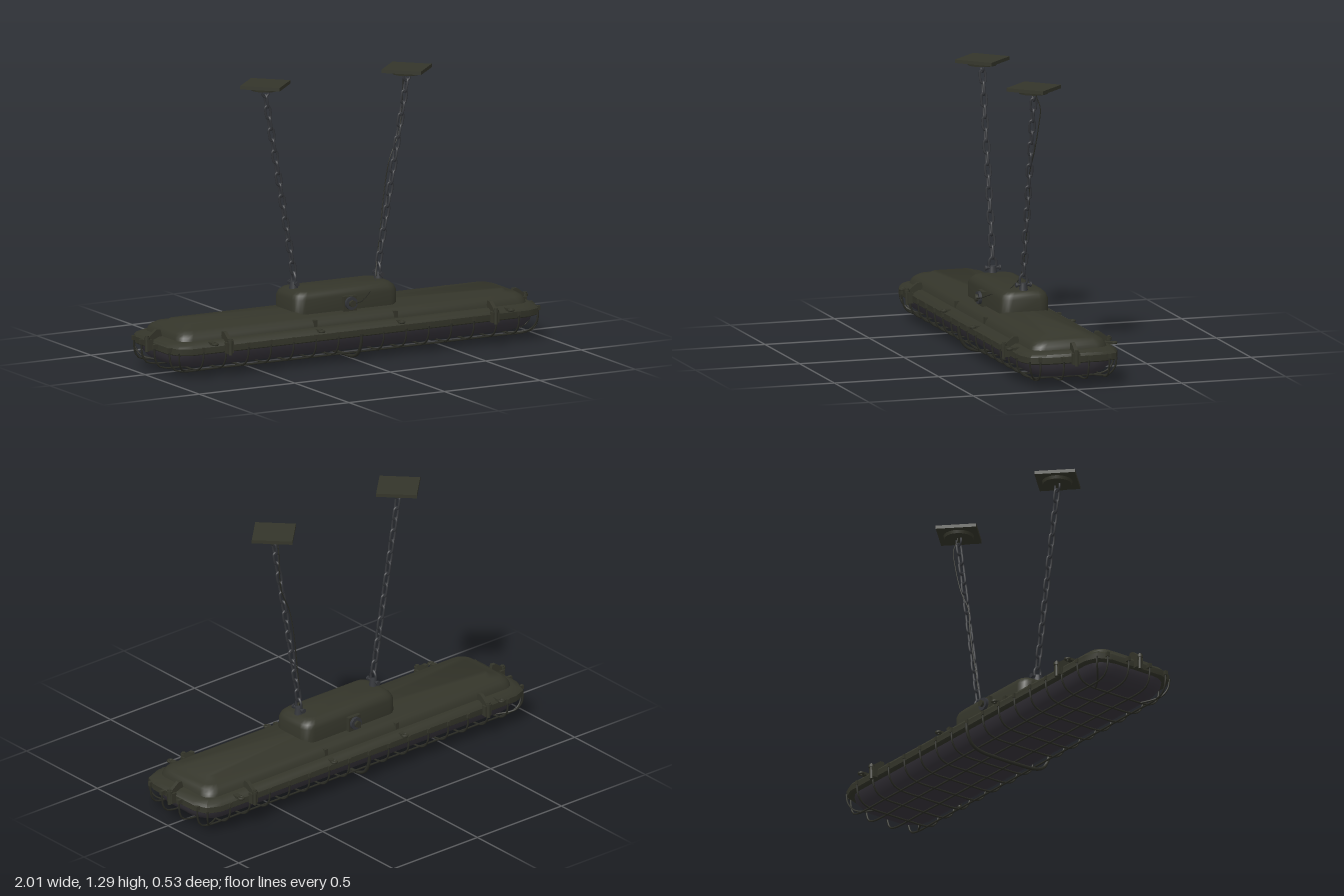
import * as THREE from 'three';
import { toCreasedNormals } from 'three/addons/utils/BufferGeometryUtils.js';

const material = (name, color) => {
  const m = new THREE.MeshStandardMaterial({ color });
  m.name = name;
  return m;
};
const V = (x, y, z) => new THREE.Vector3(x, y, z);

// Closed body lofted through rounded rectangles [halfX, halfZ, cornerRadius, y], bottom to top
function loft(rings, crease = 0.6, steps = 4) {
  const pos = [], idx = [], n = 4 * (steps + 1);
  for (const [hx, hz, r, y] of rings) {
    for (let q = 0; q < 4; q++) {
      const sx = q === 0 || q === 3 ? 1 : -1, sz = q < 2 ? 1 : -1;
      for (let s = 0; s <= steps; s++) {
        const a = (q + s / steps) * Math.PI / 2;
        pos.push(sx * (hx - r) + r * Math.cos(a), y, sz * (hz - r) + r * Math.sin(a));
      }
    }
  }
  const last = rings.length - 1;
  for (let k = 0; k < last; k++) {
    for (let i = 0; i < n; i++) {
      const a = k * n + i, b = k * n + (i + 1) % n;
      idx.push(a, a + n, b, b, a + n, b + n);
    }
  }
  const c = pos.length / 3;
  pos.push(0, rings[0][3], 0, 0, rings[last][3], 0);
  for (let i = 0; i < n; i++) {
    const j = (i + 1) % n;
    idx.push(c, i, j, c + 1, last * n + j, last * n + i);
  }
  const g = new THREE.BufferGeometry();
  g.setAttribute('position', new THREE.Float32BufferAttribute(pos, 3));
  g.setIndex(idx);
  return toCreasedNormals(g, crease);
}

const wire = (points, radius, segs = 32, sides = 6, closed = false) =>
  new THREE.TubeGeometry(new THREE.CatmullRomCurve3(points, closed, 'centripetal'), segs, radius, sides, closed);

export function createModel() {
  const root = new THREE.Group();
  const paint = material('olive paint', 0x34352a);
  const glass = material('smoked glass', 0x37343b);
  const steel = material('chain steel', 0x34363a);
  const cageMat = material('cage wire', 0x2a2b24);

  const add = (name, geo, mat, x = 0, y = 0, z = 0, parent = root) => {
    const m = new THREE.Mesh(geo, mat);
    m.name = name;
    m.position.set(x, y, z);
    parent.add(m);
    return m;
  };

  // Lamp body
  add('diffuser', loft([
    [0.85, 0.11, 0.08, 0.040], [0.89, 0.145, 0.09, 0.045], [0.925, 0.18, 0.1, 0.062],
    [0.945, 0.2, 0.1, 0.09], [0.95, 0.208, 0.1, 0.122]], 1), glass);
  add('rim', loft([
    [0.962, 0.225, 0.09, 0.115], [0.968, 0.232, 0.09, 0.12], [0.968, 0.232, 0.09, 0.148],
    [0.96, 0.222, 0.09, 0.16], [0.93, 0.2, 0.08, 0.172]], 0.5, 2), paint);
  add('housing', loft([
    [0.915, 0.187, 0.06, 0.165], [0.91, 0.18, 0.06, 0.187], [0.9, 0.168, 0.06, 0.203],
    [0.88, 0.145, 0.05, 0.215], [0.84, 0.115, 0.04, 0.221], [0.83, 0.095, 0.03, 0.231]], 0.8), paint);
  add('controlBox', loft([
    [0.27, 0.117, 0.05, 0.21], [0.27, 0.115, 0.05, 0.285], [0.262, 0.108, 0.05, 0.305],
    [0.245, 0.092, 0.045, 0.32], [0.225, 0.075, 0.04, 0.325]], 0.7), paint);

  // Cable glands on both long sides of the control box
  for (const s of [1, -1]) {
    add('glandBlock', new THREE.BoxGeometry(0.07, 0.07, 0.025), paint, 0, 0.252, s * 0.121);
    add('gland', new THREE.CylinderGeometry(0.03, 0.03, 0.025, 16), steel, 0, 0.255, s * 0.135).rotation.x = Math.PI / 2;
    add('glandNut', new THREE.CylinderGeometry(0.017, 0.017, 0.02, 6), paint, 0, 0.255, s * 0.15).rotation.x = Math.PI / 2;
  }

  // Protective cage: cross hoops, long wires and the deeper middle hoop
  const hoop = (half, w) => wire([...half.map(([z, y]) => V(0, y, z)),
    ...half.slice().reverse().map(([z, y]) => V(0, y, -z))], w);
  const hoopGeo = hoop([[0.234, 0.13], [0.229, 0.085], [0.205, 0.05], [0.16, 0.034], [0.06, 0.031]], 0.0045);
  for (let k = -7; k <= 7; k++) {
    if (k) add('cageHoop', hoopGeo, cageMat, k * 0.118);
    for (const s of [1, -1]) {
      add('cageBolt', new THREE.BoxGeometry(0.014, 0.02, 0.012), paint, k * 0.118, 0.14, s * 0.234);
    }
  }
  add('middleHoop', hoop([[0.238, 0.13], [0.232, 0.085], [0.205, 0.035], [0.16, 0.014], [0.06, 0.008]], 0.008), cageMat);
  for (const z of [-0.165, -0.06, 0.06, 0.165]) {
    const e = Math.abs(z) > 0.1 ? 0.965 : 0.985;
    const half = [[e, 0.13], [e - 0.003, 0.085], [e - 0.02, 0.05], [e - 0.055, 0.036], [0.7, 0.033]];
    add('cageLongWire', wire([...half.map(([x, y]) => V(x, y, z)),
      ...half.slice().reverse().map(([x, y]) => V(-x, y, z))], 0.0045, 90), cageMat);
    for (const s of [1, -1]) add('endBolt', new THREE.BoxGeometry(0.024, 0.02, 0.014), paint, s * (e - 0.003), 0.14, z);
  }
  for (const sx of [1, -1]) for (const sz of [1, -1]) {
    // Corner wires
    add('cageCornerWire', wire([V(sx * 0.94, 0.13, sz * 0.208), V(sx * 0.935, 0.085, sz * 0.203),
      V(sx * 0.915, 0.05, sz * 0.185), V(sx * 0.88, 0.036, sz * 0.16), V(sx * 0.826, 0.032, sz * 0.13)], 0.0045, 16), cageMat);
  }

  // Clamps: a block on the rim, a lever above it and a swing bolt
  const clamp = (x, z, turn, size) => {
    const g = new THREE.Group();
    g.name = 'clamp';
    g.position.set(x, 0, z);
    g.rotation.y = turn;
    root.add(g);
    add('clampBlock', new THREE.BoxGeometry(0.032 * size, 0.05, 0.026), paint, 0, 0.138, 0.004, g);
    add('clampBolt', new THREE.CylinderGeometry(0.009, 0.009, 0.075, 8), paint, 0, 0.143, 0.016, g);
    add('clampKnob', new THREE.CylinderGeometry(0.014, 0.014, 0.012, 8), paint, 0, 0.168, 0.016, g);
    const lever = new THREE.Shape([[0.02, 0.15], [0.02, 0.168], [-0.03, 0.205], [-0.05, 0.205], [-0.06, 0.165]]
      .map(([a, b]) => new THREE.Vector2(-a, b)));
    const geo = new THREE.ExtrudeGeometry(lever, { depth: 0.016 * size, bevelEnabled: false });
    geo.translate(0, 0, -0.008 * size).rotateY(Math.PI / 2);
    add('clampLever', geo, paint, 0, 0, 0, g);
  };
  for (const s of [1, -1]) {
    const turn = s > 0 ? 0 : Math.PI;
    clamp(-0.695, s * 0.236, turn, 1.1);
    clamp(0.695, s * 0.236, turn, 1.1);
    clamp(s * 0.974, 0, s * Math.PI / 2, 1.1);
    for (const x of [-0.775, -0.21, 0.21, 0.775]) {
      // Lifting eyes along the rim
      const far = Math.abs(x) > 0.5 ? 0.25 : 0.238;
      add('eyeTab', new THREE.BoxGeometry(0.026, 0.012, 0.09), paint, x, 0.163, s * (far - 0.055));
      const eye = add('eyeRing', new THREE.TorusGeometry(0.011, 0.006, 6, 14), paint, x, 0.163, s * far);
      eye.rotation.x = Math.PI / 2;
      if (far < 0.245) add('eyeLug', new THREE.BoxGeometry(0.018, 0.04, 0.018), paint, x, 0.185, s * 0.175);
    }
  }

  // Suspension: mounts, chains and ceiling plates
  const arc = [];
  for (let i = 0; i < 12; i++) {
    const a = i / 12 * Math.PI * 2;
    arc.push(V(0.0125 * Math.cos(a), 0.0125 * Math.sin(a) + (Math.sin(a) >= 0 ? 0.018 : -0.018), 0));
  }
  const linkGeo = wire(arc, 0.0055, 28, 6, true);
  const shackleGeo = wire([V(0, 0, -0.016), V(0, 0.035, -0.016), V(0, 0.052, 0),
    V(0, 0.035, 0.016), V(0, 0, 0.016)], 0.006, 18);
  for (const s of [1, -1]) {
    add('mountLug', new THREE.CylinderGeometry(0.016, 0.022, 0.04, 12), steel, s * 0.222, 0.335, 0);
    add('mountPin', new THREE.CylinderGeometry(0.007, 0.007, 0.07, 8), steel, s * 0.222, 0.347, 0).rotation.x = Math.PI / 2;
    for (const z of [-0.034, 0.034]) {
      add('pinHead', new THREE.CylinderGeometry(0.012, 0.012, 0.008, 6), steel, s * 0.222, 0.347, z).rotation.x = Math.PI / 2;
    }
    add('shackle', shackleGeo, steel, s * 0.222, 0.345, 0);

    const bottom = V(s * 0.226, 0.418, 0), top = V(s * 0.365, 1.207, 0), count = 16;
    const chain = new THREE.Group();
    chain.name = 'chain';
    root.add(chain);
    const tilt = new THREE.Quaternion().setFromUnitVectors(V(0, 1, 0), top.clone().sub(bottom).normalize());
    for (let i = 0; i < count; i++) {
      const link = add('chainLink', linkGeo, steel, 0, 0, 0, chain);
      link.position.lerpVectors(bottom, top, i / (count - 1));
      link.quaternion.copy(tilt);
      link.rotateY(i % 2 ? Math.PI / 2 : 0);
    }

    add('ceilingHook', wire([V(-0.016, 0.045, 0), V(-0.016, 0.014, 0), V(0, 0, 0),
      V(0.016, 0.014, 0), V(0.016, 0.045, 0)], 0.005, 18), steel, s * 0.37, 1.225, 0);
    add('ceilingBoss', new THREE.CylinderGeometry(0.07, 0.066, 0.018, 24), paint, s * 0.37, 1.27, 0);
    const plate = add('ceilingPlate', new THREE.BoxGeometry(0.186, 0.016, 0.186), paint, s * 0.37, 1.284, 0);
    plate.rotation.y = Math.PI / 4;
  }

  // Power cable from the front gland up along one chain
  add('powerCable', wire([V(0, 0.255, 0.158), V(0.05, 0.262, 0.15), V(0.11, 0.29, 0.115), V(0.17, 0.315, 0.06),
    V(0.205, 0.38, 0.01), V(0.235, 0.55, -0.006), V(0.265, 0.75, -0.015), V(0.285, 0.87, -0.008),
    V(0.335, 0.98, -0.014), V(0.36, 1.1, -0.026), V(0.368, 1.19, -0.032), V(0.362, 1.235, -0.018),
    V(0.362, 1.265, -0.01)], 0.0025, 80, 5), cageMat);

  return root;
}
